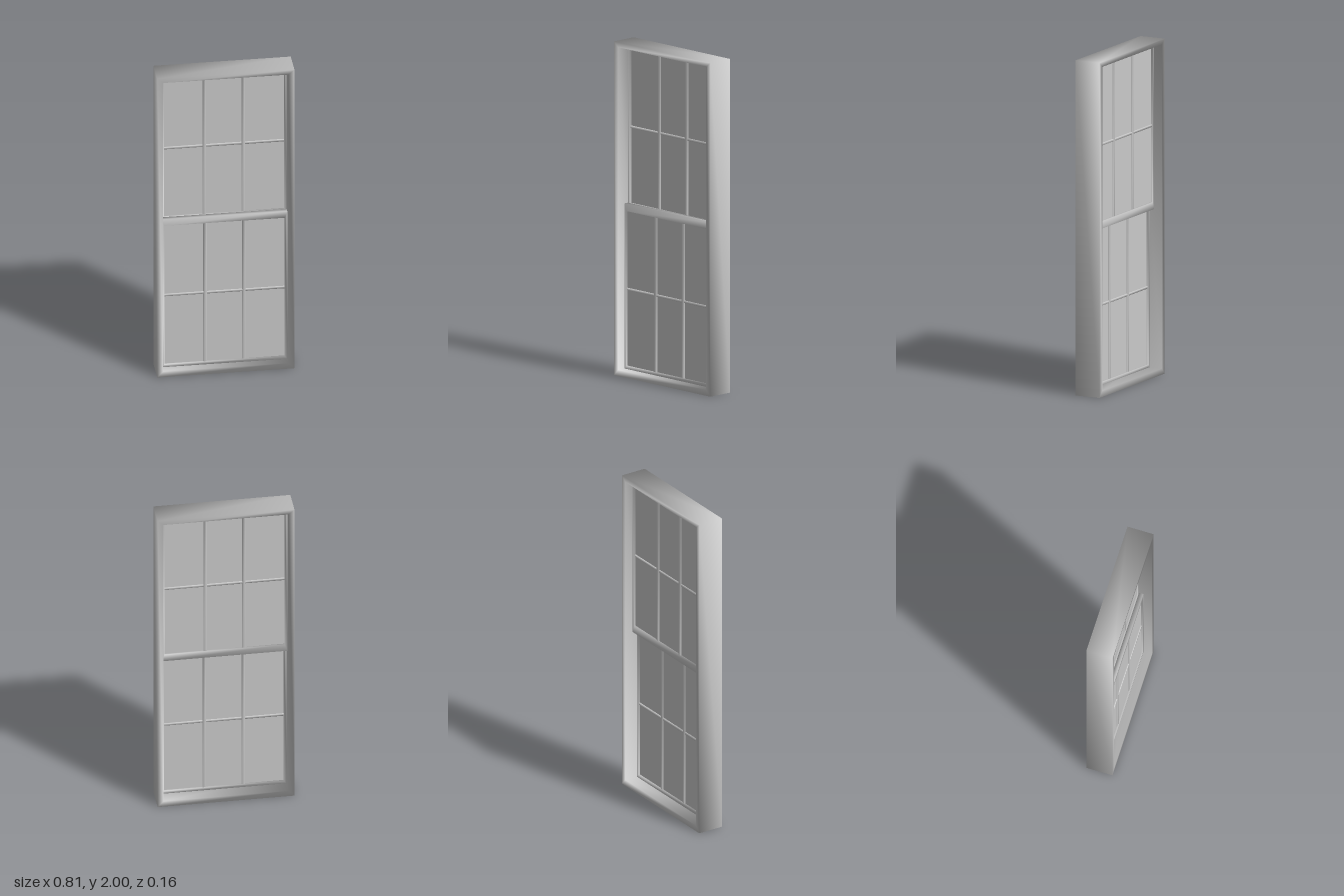
import * as THREE from 'three';
import { mergeVertices } from 'three/addons/utils/BufferGeometryUtils.js';

const material = new THREE.MeshStandardMaterial({ color: 0xcccccc });

// Rectangular ring: outer and inner rectangles given as [x0, y0, x1, y1], softly shaded
function ring(name, outer, inner, zBack, zFront) {
  const positions = [];
  const index = [];
  const loops = [[outer, zFront], [inner, zFront], [inner, zBack], [outer, zBack]];
  for (const [[x0, y0, x1, y1], z] of loops) {
    positions.push(x0, y0, z, x1, y0, z, x1, y1, z, x0, y1, z);
  }
  for (let l = 0; l < 4; l++) {
    for (let i = 0; i < 4; i++) {
      const j = (i + 1) % 4;
      const m = (l + 1) % 4;
      const a = l * 4 + i, b = l * 4 + j, c = m * 4 + j, d = m * 4 + i;
      index.push(a, b, c, a, c, d);
    }
  }
  const geometry = new THREE.BufferGeometry();
  geometry.setAttribute('position', new THREE.Float32BufferAttribute(positions, 3));
  geometry.setIndex(index);
  geometry.computeVertexNormals();
  const mesh = new THREE.Mesh(geometry, material);
  mesh.name = name;
  return mesh;
}

// Box; soft boxes share their corner normals
function box(name, w, h, d, x, y, z, soft = true) {
  let geometry = new THREE.BoxGeometry(w, h, d);
  if (soft) {
    geometry.deleteAttribute('normal');
    geometry.deleteAttribute('uv');
    geometry = mergeVertices(geometry);
    geometry.computeVertexNormals();
  }
  const mesh = new THREE.Mesh(geometry, material);
  mesh.name = name;
  mesh.position.set(x, y, z);
  return mesh;
}

// One sash: ring, glass pane and a grid of glazing bars
function sash(name, outerY, innerY, barY, zBack, zFront) {
  const group = new THREE.Group();
  group.name = name;
  const [y0, y1] = innerY;
  const z = (zBack + zFront) / 2;
  const midY = (y0 + y1) / 2;
  group.add(ring('sashFrame', [-0.372, outerY[0], 0.372, outerY[1]],
    [-0.355, y0, 0.355, y1], zBack, zFront));
  group.add(box('glass', 0.712, y1 - y0 + 0.002, 0.004, 0, midY, z, false));
  for (const x of [-0.115, 0.115]) {
    group.add(box('verticalBar', 0.02, y1 - y0, 0.018, x, midY, z));
  }
  group.add(box('horizontalBar', 0.71, 0.014, 0.016, 0, barY, z));
  return group;
}

export function createModel() {
  const model = new THREE.Group();
  model.name = 'sashWindow';

  // Outer casing
  model.add(ring('frame', [-0.405, 0, 0.405, 2], [-0.37, 0.037, 0.37, 1.97], -0.08, 0.08));

  // The lower sash sits in front of the upper one, their meeting rails overlapping
  model.add(sash('upperSash', [0.983, 1.972], [1.027, 1.95], 1.483, -0.028, -0.001));
  model.add(sash('lowerSash', [0.035, 1.027], [0.055, 0.983], 0.515, 0.001, 0.028));
  return model;
}
